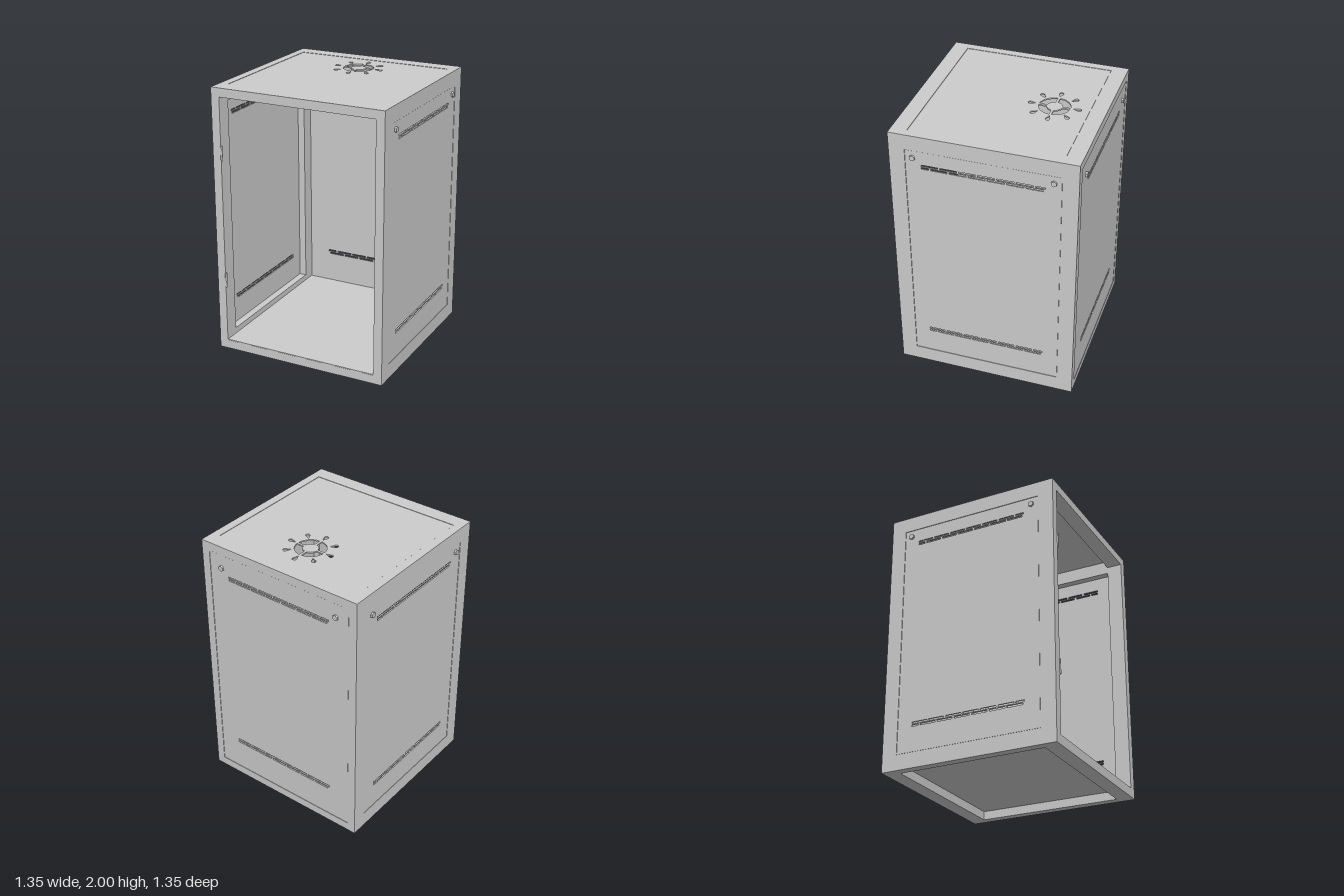
import * as THREE from 'three';

const W = 0.665, H = 2;          // half width/depth and height
const TX = 0.065, TZ = 0.115;    // frame bar section
const IX = W - TX, IZ = W - TZ;  // half openings
const SKIN = 0.01, INSET = 0.002;
const mat = new THREE.MeshStandardMaterial({ color: 0xcccccc, flatShading: true });

function add(parent, name, geo, x = 0, y = 0, z = 0) {
  const mesh = new THREE.Mesh(geo, mat);
  mesh.name = name;
  mesh.position.set(x, y, z);
  parent.add(mesh);
  return mesh;
}

function rect(Type, x0, y0, x1, y1) {
  return new Type([[x0, y0], [x1, y0], [x1, y1], [x0, y1]].map(p => new THREE.Vector2(...p)));
}

// Two staggered rows of narrow vent slits
function ventSlots(y) {
  const slots = [], end = 0.435, pitch = 0.134, gap = 0.014;
  for (const [row, shift] of [[0.01, 0], [-0.01, pitch / 2]]) {
    for (let x = -end - shift; x < end - 0.01; x += pitch) {
      const a = Math.max(x, -end), b = Math.min(x + pitch - gap, end);
      if (b - a > 0.02) slots.push(rect(THREE.Path, a, y + row - 0.0065, b, y + row + 0.0065));
    }
  }
  return slots;
}

// Ring of four arc openings with eight teardrops around it
function fanHoles(cx, cy) {
  const holes = [], r0 = 0.056, r1 = 0.112, bar = 0.009;
  for (let i = 0; i < 4; i++) {
    const a = i * Math.PI / 2, pts = [];
    for (const [r, dir] of [[r1, 1], [r0, -1]]) {
      const s = Math.asin(bar / r), e = Math.PI / 2 - s;
      for (let k = 0; k <= 10; k++) {
        const t = a + (dir > 0 ? s + (e - s) * k / 10 : e - (e - s) * k / 10);
        pts.push(new THREE.Vector2(cx + r * Math.cos(t), cy + r * Math.sin(t)));
      }
    }
    holes.push(new THREE.Path(pts));
  }
  for (let i = 0; i < 8; i++) {
    const a = i * Math.PI / 4, pts = [new THREE.Vector2(0.132, 0)];
    for (let k = 0; k <= 10; k++) {
      const t = -1.9 + 3.8 * k / 10;
      pts.push(new THREE.Vector2(0.175 + 0.016 * Math.cos(t), 0.016 * Math.sin(t)));
    }
    const centre = new THREE.Vector2();
    holes.push(new THREE.Path(pts.map(p => p.rotateAround(centre, a).add(new THREE.Vector2(cx, cy)))));
  }
  return holes;
}

// Thin sheet facing +z with its outer face at z = 0
function sheet(w, h, holes) {
  const shape = rect(THREE.Shape, -w / 2, -h / 2, w / 2, h / 2);
  shape.holes.push(...holes);
  return new THREE.ExtrudeGeometry(shape, { depth: SKIN, bevelEnabled: false }).translate(0, 0, -SKIN);
}

// Wall with vents and two hex bolts, facing +z before it is turned
function wall(name, w, h) {
  const g = new THREE.Group();
  g.name = name;
  const vents = [...ventSlots(1.765 - H / 2), ...ventSlots(0.32 - H / 2)];
  add(g, name + 'Sheet', sheet(w - 0.004, h - 0.004, vents), 0, 0, -INSET);
  for (const s of [-1, 1]) {
    const bolt = new THREE.CylinderGeometry(0.021, 0.021, 0.024, 6).rotateX(Math.PI / 2);
    add(g, 'hexBolt', bolt, s * 0.495, 1.83 - H / 2, 0);
  }
  return g;
}

export function createModel() {
  const model = new THREE.Group();
  model.name = 'cabinet';

  // Frame of posts and rails
  const frame = new THREE.Group();
  frame.name = 'frame';
  model.add(frame);
  for (const s of [-1, 1]) {
    for (const t of [-1, 1]) {
      add(frame, 'cornerPost', new THREE.BoxGeometry(TX, H, TZ), s * (W - TX / 2), H / 2, t * (W - TZ / 2));
      add(frame, 'sideRail', new THREE.BoxGeometry(TX, TZ, 2 * IZ),
        s * (W - TX / 2), H / 2 + t * (H / 2 - TZ / 2), 0);
      add(frame, 'crossRail', new THREE.BoxGeometry(2 * IX, TX, TZ),
        0, H / 2 + t * (H / 2 - TX / 2), s * (W - TZ / 2));
    }
  }

  // Side and back walls
  for (const s of [-1, 1]) {
    const side = wall(s > 0 ? 'leftWall' : 'rightWall', 2 * IZ, H - 2 * TZ);
    side.rotation.y = s * Math.PI / 2;
    side.position.set(s * W, H / 2, 0);
    model.add(side);
  }
  const back = wall('backWall', 2 * IX, H - 2 * TX);
  back.rotation.y = Math.PI;
  back.position.set(0, H / 2, -W);
  model.add(back);

  // Top sheet with fan opening
  const top = add(model, 'topPanel', sheet(2 * IX - 0.004, 2 * IZ - 0.004, fanHoles(0, 0.3)), 0, H - INSET, 0);
  top.rotation.x = -Math.PI / 2;

  // Floor plate resting on the lower rails
  add(model, 'floor', new THREE.BoxGeometry(2 * IX, 0.006, 2 * W - SKIN - 0.004), 0, TX + 0.003, 0.006);

  // Hinge barrels on the front opening
  for (const y of [0.555, 1.525]) {
    add(model, 'hinge', new THREE.CylinderGeometry(0.008, 0.008, 0.11, 16), -IX + 0.005, y, W - 0.001);
  }
  return model;
}
